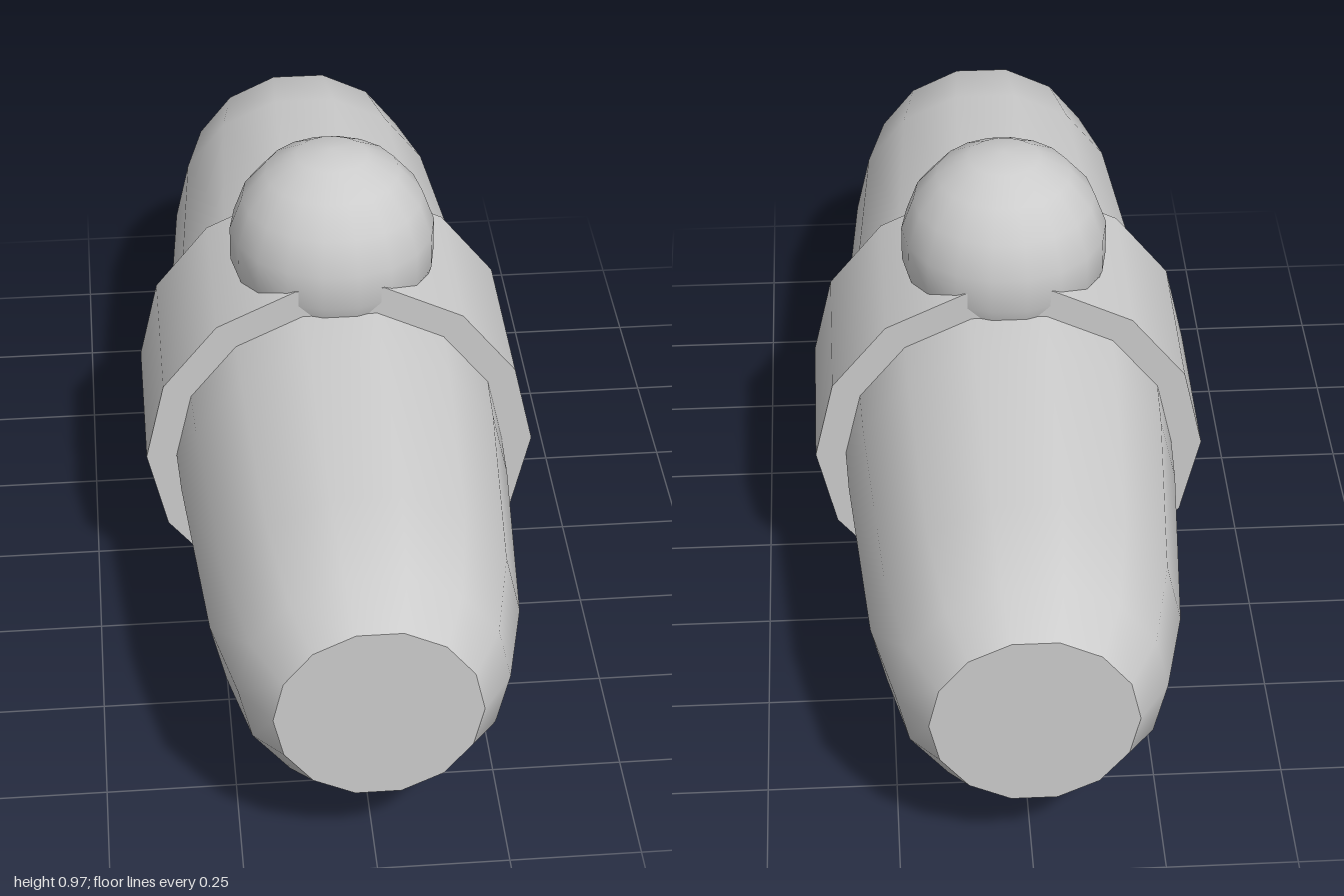
import * as THREE from 'three';

const SIDES = 14;
const AXIS_Y = 0.382;

export function createModel() {
  const model = new THREE.Group();
  const grey = new THREE.MeshStandardMaterial({ color: 0xcccccc });
  grey.name = 'light grey';

  const add = (name, geometry, y = AXIS_Y, z = 0) => {
    const mesh = new THREE.Mesh(geometry, grey);
    mesh.name = name;
    mesh.position.set(0, y, z);
    model.add(mesh);
    return mesh;
  };

  // Barrel-shaped body lying along z: [radius, distance from the middle]
  const half = [[0.192, 1], [0.25, 0.915], [0.292, 0.73], [0.326, 0.3], [0.334, 0.1]];
  const profile = [
    ...half.map(([r, d]) => new THREE.Vector2(r, -d)),
    ...half.slice().reverse().map(([r, d]) => new THREE.Vector2(r, d)),
  ];
  add('body', new THREE.LatheGeometry(profile, SIDES, Math.PI / 2).rotateX(Math.PI / 2));

  // Flat ends of the body
  add('frontEnd', new THREE.CircleGeometry(0.192, SIDES), AXIS_Y, 1);
  add('backEnd', new THREE.CircleGeometry(0.192, SIDES).rotateY(Math.PI), AXIS_Y, -1);

  // Wide band around the middle
  add('band', new THREE.CylinderGeometry(0.391, 0.391, 0.37, SIDES, 1, false, Math.PI / 2)
    .rotateX(Math.PI / 2));

  // Ball sunk into the top of the band
  add('ball', new THREE.SphereGeometry(0.208, 18, 9), 0.765);

  return model;
}
